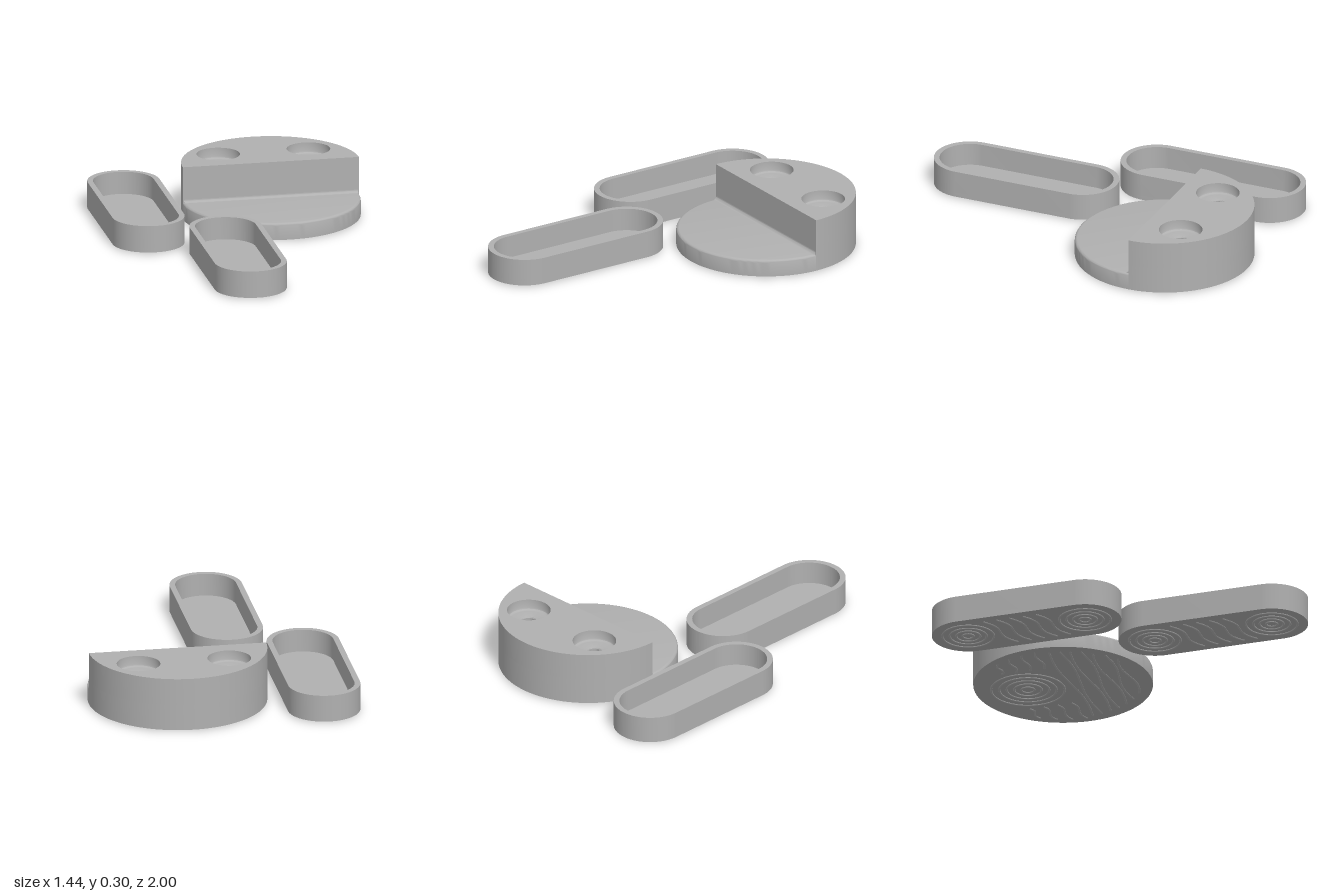
import * as THREE from 'three';
import { toCreasedNormals } from 'three/addons/utils/BufferGeometryUtils.js';

const grey = new THREE.MeshStandardMaterial({ color: 0xb0b0b0 });
grey.name = 'plain grey';

const BASE = 0.006; // underside height, raised ridges fill the gap to the ground
const R = 0.486;    // body radius

function add(parent, name, geometry, x = 0, y = 0, z = 0) {
  const mesh = new THREE.Mesh(geometry, grey);
  mesh.name = name;
  mesh.position.set(x, y, z);
  parent.add(mesh);
  return mesh;
}

// Upright prism: shape y becomes -z, extrusion becomes y
function prism(shape, y0, y1) {
  const g = new THREE.ExtrudeGeometry(shape, { depth: y1 - y0, bevelEnabled: false, curveSegments: 48 });
  g.rotateX(-Math.PI / 2).translate(0, y0, 0);
  return toCreasedNormals(g, 0.5);
}

function lathe(points, segments, start = 0, length = Math.PI * 2) {
  const g = new THREE.LatheGeometry(points.map(p => new THREE.Vector2(...p)), segments, start, length);
  return toCreasedNormals(g, 0.5);
}

// Stadium outline along z
function stadium(r, half, Type = THREE.Shape) {
  const s = new Type();
  s.moveTo(r, -half);
  s.lineTo(r, half);
  s.absarc(0, half, r, 0, Math.PI, false);
  s.lineTo(-r, -half);
  s.absarc(0, -half, r, Math.PI, Math.PI * 2, false);
  return s;
}

// Concentric raised rings on the underside
function addRings(parent, x, z, radii) {
  for (const r of radii) {
    const ring = new THREE.TorusGeometry(r, BASE, 6, 40).rotateX(Math.PI / 2);
    add(parent, 'undersideRing', ring, x, BASE, z);
  }
}

// Raised wavy line on the underside, from a to b
function addRidge(parent, a, b, wave) {
  const pts = [];
  for (let i = 0; i <= 6; i++) {
    const t = i / 6;
    const w = wave * Math.sin(t * Math.PI * 2);
    pts.push(new THREE.Vector3(a[0] + (b[0] - a[0]) * t, BASE, a[1] + (b[1] - a[1]) * t + w));
  }
  add(parent, 'undersideRidge', new THREE.TubeGeometry(new THREE.CatmullRomCurve3(pts), 18, BASE, 6));
}

function createTray(name, x, z) {
  const tray = new THREE.Group();
  tray.name = name;
  tray.position.set(x, 0, z);
  const r = 0.197, half = 0.333, wall = 0.031, floor = 0.03;
  const rim = stadium(r, half);
  rim.holes.push(stadium(r - wall, half, THREE.Path));
  add(tray, 'trayWall', prism(rim, floor, 0.155));
  add(tray, 'trayFloor', prism(stadium(r, half), BASE, floor));
  for (const s of [-1, 1]) addRings(tray, 0, s * half, [0.03, 0.065, 0.1, 0.14]);
  // Slanted ridges between the two ring groups
  for (let i = -2; i <= 2; i++) {
    const zc = i * 0.075;
    addRidge(tray, [-0.15, zc - 0.05], [0.15, zc + 0.05], 0.02);
  }
  return tray;
}

function createBody() {
  const body = new THREE.Group();
  body.name = 'body';
  body.position.set(0.23, 0, -0.514);
  const low = 0.1, top = 0.3, mid = 0.15, f = 0.016;

  // Low front half with a rounded upper rim
  const profile = [[0, BASE], [R, BASE], [R, low - f]];
  for (let i = 1; i <= 5; i++) {
    const a = (i / 5) * Math.PI / 2;
    profile.push([R - f + f * Math.cos(a), low - f + f * Math.sin(a)]);
  }
  profile.push([0, low]);
  add(body, 'lowerFront', lathe(profile, 64, -Math.PI / 2, Math.PI));

  // Tall back half, the upper part pierced for the two eye recesses
  const halfDisc = () => {
    const s = new THREE.Shape();
    s.moveTo(R, 0);
    s.absarc(0, 0, R, 0, Math.PI, false);
    s.closePath();
    return s;
  };
  add(body, 'backBase', prism(halfDisc(), BASE, mid));
  const pierced = halfDisc();
  const eyeX = 0.249, eyeZ = 0.205, eyeR = 0.118;
  for (const s of [-1, 1]) {
    const hole = new THREE.Path();
    hole.absarc(s * eyeX, eyeZ, eyeR, 0, Math.PI * 2, true);
    pierced.holes.push(hole);
  }
  add(body, 'backTop', prism(pierced, mid, top));

  // Eye recesses with rounded floor edge and a small central hole
  const cup = [[eyeR, top], [eyeR, 0.253], [0.115, 0.246], [0.107, 0.241], [0.1, 0.24], [0.046, 0.24],
    [0.04, 0.238], [0.036, 0.232], [0.036, 0.2], [0, 0.2]];
  for (const s of [-1, 1]) add(body, 'eyeRecess', lathe(cup, 48), s * eyeX, 0, -eyeZ);

  // Concave fillet at the foot of the step
  const cove = new THREE.Shape();
  cove.moveTo(0, 0);
  cove.lineTo(f, 0);
  cove.absarc(f, f, f, -Math.PI / 2, -Math.PI, true);
  cove.closePath();
  const len = 2 * (R - 0.006);
  const g = new THREE.ExtrudeGeometry(cove, { depth: len, bevelEnabled: false, curveSegments: 6 });
  g.rotateY(-Math.PI / 2).translate(len / 2, low, 0);
  add(body, 'stepFillet', toCreasedNormals(g, 0.5));

  // Underside relief
  addRings(body, 0, -0.2, [0.035, 0.075, 0.115, 0.155, 0.2]);
  for (let i = 0; i < 7; i++) {
    const z = 0.06 + i * 0.055;
    const w = Math.sqrt(R * R - z * z) - 0.06;
    addRidge(body, [-w, z], [w, z - 0.03], i % 2 ? 0.018 : -0.018);
  }
  for (const s of [-1, 1]) {
    for (let i = 0; i < 4; i++) {
      const z = -0.03 - i * 0.08;
      const w = Math.sqrt(R * R - z * z) - 0.04;
      addRidge(body, [s * 0.23, z], [s * w, z + 0.02], 0.012);
    }
  }
  return body;
}

export function createModel() {
  const model = new THREE.Group();
  model.name = 'model';
  model.add(createBody());
  model.add(createTray('backTray', -0.524, -0.47));
  model.add(createTray('frontTray', -0.152, 0.47));
  return model;
}
